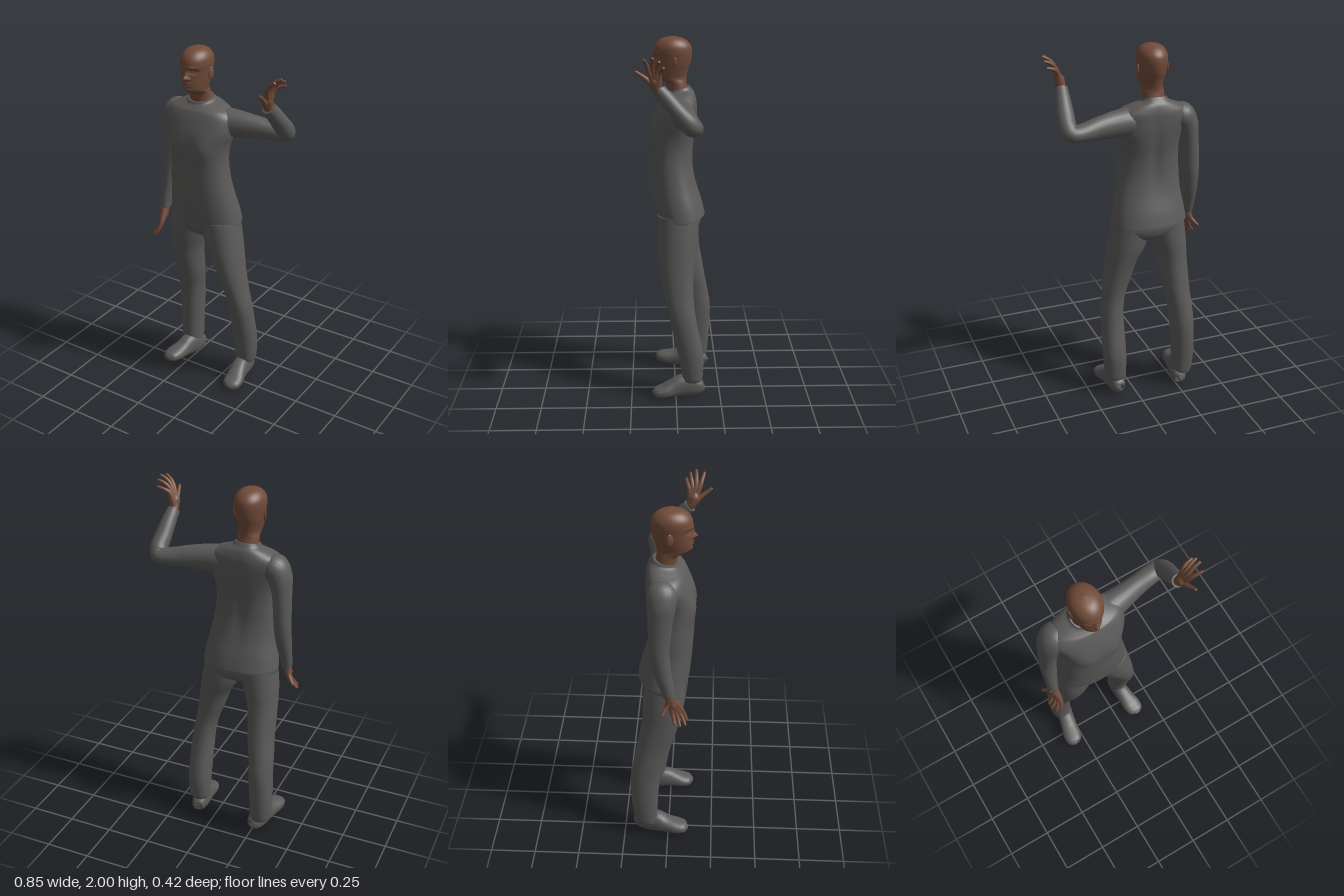
import * as THREE from 'three';

const cloth = new THREE.MeshStandardMaterial({ color: 0x5b5a59 });
cloth.name = 'grey cloth';
const skin = new THREE.MeshStandardMaterial({ color: 0x714b39 });
skin.name = 'brown skin';

const V = (x, y, z) => new THREE.Vector3(x, y, z);

// Catmull-Rom sampling of rows of numbers
function sample(rows, n) {
  const out = [], last = rows.length - 1;
  for (let i = 0; i <= n; i++) {
    const s = (i / n) * last, k = Math.min(Math.floor(s), last - 1), t = s - k;
    const [a, b, c, d] = [k - 1, k, k + 1, k + 2].map((q) => rows[Math.max(0, Math.min(last, q))]);
    out.push(b.map((_, j) => 0.5 * (2 * b[j] + (c[j] - a[j]) * t
      + (2 * a[j] - 5 * b[j] + 4 * c[j] - d[j]) * t * t
      + (3 * b[j] - a[j] - 3 * c[j] + d[j]) * t * t * t)));
  }
  return out;
}

// Smooth skin through rows [x, y, z, radiusU, radiusV]
function loft(name, material, rows, o = {}) {
  const { n = rows.length * 5, seg = 24, ref = V(0, 0, 1), level = false, power = 2, deform } = o;
  const s = sample(rows, n), pos = [], idx = [];
  const at = (i) => V(s[i][0], s[i][1], s[i][2]);
  for (let i = 0; i <= n; i++) {
    const T = level ? V(0, 1, 0) : at(Math.min(n, i + 1)).sub(at(Math.max(0, i - 1))).normalize();
    const u = ref.clone().cross(T).normalize(), v = T.clone().cross(u);
    const ru = Math.max(s[i][3], 0.0008), rv = Math.max(s[i][4] ?? s[i][3], 0.0008);
    const bend = (c) => Math.sign(c) * Math.abs(c) ** (2 / power);
    for (let j = 0; j < seg; j++) {
      const a = (j / seg) * Math.PI * 2;
      const p = at(i).addScaledVector(u, ru * bend(Math.cos(a))).addScaledVector(v, rv * bend(Math.sin(a)));
      if (deform) deform(p);
      pos.push(p.x, p.y, p.z);
    }
  }
  for (let i = 0; i < n; i++) for (let j = 0; j < seg; j++) {
    const a = i * seg + j, b = i * seg + (j + 1) % seg;
    idx.push(a, b, a + seg, b, b + seg, a + seg);
  }
  // End caps with their own vertices so rims stay sharp
  for (const i of [0, n]) {
    const base = pos.length / 3, c = V(0, 0, 0);
    for (let j = 0; j < seg; j++) {
      const k = (i * seg + j) * 3;
      c.add(V(pos[k], pos[k + 1], pos[k + 2]));
      pos.push(pos[k], pos[k + 1], pos[k + 2]);
    }
    c.divideScalar(seg);
    pos.push(c.x, c.y, c.z);
    for (let j = 0; j < seg; j++) {
      const a = base + j, b = base + (j + 1) % seg;
      idx.push(base + seg, i ? a : b, i ? b : a);
    }
  }
  const g = new THREE.BufferGeometry();
  g.setAttribute('position', new THREE.Float32BufferAttribute(pos, 3));
  g.setIndex(idx);
  g.computeVertexNormals();
  const mesh = new THREE.Mesh(g, material);
  mesh.name = name;
  return mesh;
}

// Upright body part from rows [y, xMin, xMax, zBack, zFront]
const upright = (name, material, rows, o) => loft(name, material,
  rows.map(([y, a, b, c, d]) => [(a + b) / 2, y, (c + d) / 2, (b - a) / 2, (d - c) / 2]),
  { level: true, seg: 40, ...o });

const bump = (p, x, y, sx, sy) => Math.exp(-(((p.x - x) / sx) ** 2) - ((p.y - y) / sy) ** 2);

// Hand: each digit runs from the wrist through its knuckle to its tip
function hand(name, wrist, digits) {
  const g = new THREE.Group();
  g.name = name;
  digits.forEach(([knuckle, middle, tip], i) => {
    const start = wrist.map((w, k) => w + (knuckle[k] - w) * 0.12);
    const end = tip.map((t, k) => t + (t - middle[k]) * 0.06);
    g.add(loft(i ? 'finger' : 'thumb', skin,
      [[...start, 0.024], [...knuckle, 0.0145], [...middle, 0.0105], [...tip, 0.0075], [...end, 0.001]],
      { seg: 12 }));
  });
  return g;
}

export function createModel() {
  const model = new THREE.Group();
  model.name = 'wavingPerson';

  // Sweater body
  model.add(upright('sweater', cloth, [
    [1.03, -0.33, 0.09, -0.165, 0.11], [1.1, -0.32, 0.08, -0.148, 0.117],
    [1.2, -0.305, 0.06, -0.118, 0.125], [1.3, -0.3, 0.042, -0.1, 0.13],
    [1.4, -0.295, 0.032, -0.1, 0.134], [1.48, -0.3, 0.04, -0.11, 0.134],
    [1.55, -0.32, 0.06, -0.118, 0.125], [1.61, -0.34, 0.065, -0.12, 0.105],
    [1.655, -0.325, 0.05, -0.118, 0.085], [1.69, -0.265, -0.01, -0.108, 0.064],
    [1.712, -0.222, -0.066, -0.092, 0.05], [1.73, -0.213, -0.077, -0.08, 0.045],
  ], {
    n: 64, seg: 56, power: 2.3,
    deform: (p) => {
      if (p.z > 0.03) p.z += 0.014 * (bump(p, -0.22, 1.47, 0.06, 0.07) + bump(p, -0.04, 1.47, 0.06, 0.07));
      if (p.z < -0.05) p.z += 0.012 * bump(p, -0.13, 1.42, 0.03, 0.2);
      p.y -= Math.max(0, p.y - 1.67) * 4 * (p.z + 0.06);
    },
  }));

  // Sleeves
  model.add(loft('rightSleeve', cloth, [
    [-0.25, 1.635, -0.025, 0.035, 0.05], [-0.295, 1.615, -0.028, 0.07, 0.078], [-0.33, 1.56, -0.03, 0.064, 0.074],
    [-0.345, 1.48, -0.035, 0.052, 0.064], [-0.352, 1.38, -0.04, 0.048, 0.057], [-0.357, 1.28, -0.04, 0.046, 0.052],
    [-0.362, 1.18, -0.025, 0.041, 0.046], [-0.367, 1.1, -0.005, 0.034, 0.038], [-0.37, 1.03, 0.012, 0.028, 0.032],
  ]));
  model.add(loft('leftSleeve', cloth, [
    [-0.07, 1.605, -0.02, 0.08, 0.07], [0.01, 1.604, -0.03, 0.075, 0.076], [0.09, 1.602, -0.042, 0.064, 0.071],
    [0.18, 1.598, -0.06, 0.054, 0.06], [0.27, 1.59, -0.078, 0.052, 0.048], [0.325, 1.59, -0.082, 0.052, 0.046],
    [0.345, 1.615, -0.062, 0.048, 0.05], [0.342, 1.67, -0.012, 0.047, 0.045],
    [0.335, 1.73, 0.04, 0.041, 0.041], [0.327, 1.785, 0.09, 0.034, 0.036],
  ], { ref: V(0, 1, 0), n: 60 }));

  // Trousers
  model.add(upright('hips', cloth, [
    [0.925, -0.2, -0.04, -0.08, 0.04], [0.95, -0.27, 0.04, -0.125, 0.075],
    [1.0, -0.325, 0.088, -0.145, 0.1], [1.06, -0.32, 0.085, -0.14, 0.105],
  ], { power: 2.3 }));
  model.add(upright('rightTrouserLeg', cloth, [
    [0.085, -0.342, -0.232, -0.19, -0.055], [0.12, -0.35, -0.23, -0.196, -0.06],
    [0.25, -0.356, -0.228, -0.207, -0.058], [0.4, -0.352, -0.22, -0.21, -0.045],
    [0.5, -0.348, -0.212, -0.195, -0.025], [0.6, -0.34, -0.195, -0.176, 0.005], [0.7, -0.337, -0.185, -0.158, 0.038],
    [0.8, -0.335, -0.172, -0.142, 0.065], [0.9, -0.333, -0.143, -0.138, 0.085], [1.04, -0.32, -0.1, -0.13, 0.09],
  ], { power: 2.15 }));
  model.add(upright('leftTrouserLeg', cloth, [
    [0.1, 0.052, 0.158, -0.145, -0.04], [0.13, 0.046, 0.168, -0.152, -0.035],
    [0.25, 0.043, 0.173, -0.155, -0.015], [0.4, 0.042, 0.171, -0.125, 0.02],
    [0.5, 0.04, 0.165, -0.108, 0.042], [0.6, 0.026, 0.15, -0.098, 0.064], [0.7, -0.01, 0.137, -0.1, 0.083],
    [0.8, -0.046, 0.123, -0.11, 0.094], [0.9, -0.098, 0.109, -0.125, 0.1], [1.04, -0.13, 0.085, -0.13, 0.1],
  ], { power: 2.15 }));

  // Shoes, right one resting on its heel
  const shoe = { ref: V(0, 1, 0), power: 2.4, n: 36 };
  model.add(loft('rightShoe', cloth, [
    [-0.258, 0.05, -0.184, 0.012, 0.012], [-0.26, 0.052, -0.178, 0.034, 0.036], [-0.27, 0.064, -0.13, 0.046, 0.062],
    [-0.285, 0.073, -0.07, 0.048, 0.066], [-0.298, 0.064, -0.01, 0.05, 0.047], [-0.31, 0.061, 0.05, 0.054, 0.036],
    [-0.318, 0.06, 0.095, 0.042, 0.027], [-0.32, 0.062, 0.114, 0.012, 0.01],
  ], shoe));
  model.add(loft('leftShoe', cloth, [
    [0.1, 0.048, -0.15, 0.012, 0.012], [0.101, 0.05, -0.144, 0.034, 0.036], [0.102, 0.063, -0.1, 0.045, 0.058],
    [0.105, 0.068, -0.04, 0.047, 0.063], [0.112, 0.055, 0.015, 0.05, 0.049], [0.12, 0.041, 0.065, 0.056, 0.035],
    [0.125, 0.034, 0.11, 0.046, 0.026], [0.126, 0.033, 0.133, 0.012, 0.01],
  ], shoe));

  // Head and neck, with the face shaped by soft bumps and hollows
  const cx = -0.145;
  model.add(upright('head', skin, [
    [1.67, 0.066, -0.08, 0.035], [1.72, 0.06, -0.07, 0.04], [1.755, 0.058, -0.062, 0.052],
    [1.774, 0.058, -0.062, 0.096], [1.79, 0.06, -0.064, 0.112], [1.82, 0.067, -0.071, 0.115],
    [1.855, 0.074, -0.083, 0.114], [1.89, 0.078, -0.09, 0.116], [1.92, 0.081, -0.092, 0.119],
    [1.95, 0.078, -0.086, 0.112], [1.975, 0.064, -0.066, 0.092], [1.992, 0.04, -0.036, 0.062], [2.0, 0.004, 0.008, 0.016],
  ].map(([y, w, b, f]) => [y, cx - w, cx + w, b, f]), {
    n: 90, seg: 80,
    deform: (p) => {
      if (p.z < 0.04) return;
      let d = 0.024 * bump(p, cx, 1.855, 0.012, 0.012) + 0.013 * bump(p, cx, 1.875, 0.01, 0.022);
      d += 0.008 * bump(p, cx, 1.829, 0.022, 0.005) + 0.008 * bump(p, cx, 1.816, 0.02, 0.005);
      d += 0.006 * bump(p, cx, 1.79, 0.02, 0.012);
      for (const s of [-1, 1]) {
        d += 0.007 * bump(p, cx + s * 0.017, 1.851, 0.008, 0.007);
        d -= 0.015 * bump(p, cx + s * 0.033, 1.889, 0.018, 0.011);
        d += 0.008 * bump(p, cx + s * 0.033, 1.888, 0.011, 0.005);
        d += 0.005 * bump(p, cx + s * 0.03, 1.91, 0.022, 0.007);
      }
      p.z += d;
    },
  }));

  // Ears
  for (const s of [-1, 1]) {
    const ear = new THREE.Group();
    ear.name = s > 0 ? 'leftEar' : 'rightEar';
    const shell = new THREE.Mesh(new THREE.SphereGeometry(1, 16, 12), skin);
    shell.scale.set(0.007, 0.027, 0.016);
    const rim = new THREE.Mesh(new THREE.TorusGeometry(0.019, 0.0045, 8, 24), skin);
    rim.scale.set(0.75, 1.35, 1);
    rim.rotation.y = Math.PI / 2;
    ear.add(shell, rim);
    ear.position.set(cx + s * 0.081, 1.868, 0.008);
    ear.rotation.set(-0.12, s * -0.35, 0);
    model.add(ear);
  }

  // Wrists and hands
  model.add(loft('leftWrist', skin, [
    [0.328, 1.765, 0.072, 0.026], [0.327, 1.8, 0.1, 0.025], [0.332, 1.835, 0.115, 0.027], [0.337, 1.86, 0.12, 0.012],
  ], { seg: 16 }));
  model.add(hand('leftHand', [0.327, 1.795, 0.098], [
    [[0.332, 1.835, 0.145], [0.338, 1.858, 0.175], [0.345, 1.88, 0.205]],
    [[0.347, 1.882, 0.139], [0.368, 1.92, 0.153], [0.4, 1.945, 0.164]],
    [[0.35, 1.888, 0.12], [0.376, 1.93, 0.122], [0.414, 1.953, 0.12]],
    [[0.35, 1.882, 0.102], [0.376, 1.918, 0.095], [0.414, 1.936, 0.089]],
    [[0.347, 1.87, 0.088], [0.37, 1.893, 0.075], [0.408, 1.906, 0.068]],
  ]));
  model.add(loft('rightWrist', skin, [
    [-0.37, 1.055, 0.01, 0.022], [-0.371, 1.015, 0.018, 0.021], [-0.373, 0.98, 0.03, 0.024], [-0.375, 0.955, 0.038, 0.012],
  ], { seg: 16 }));
  model.add(hand('rightHand', [-0.371, 1.02, 0.018], [
    [[-0.385, 0.982, 0], [-0.402, 0.96, -0.014], [-0.42, 0.94, -0.027]],
    [[-0.382, 0.945, 0.026], [-0.397, 0.912, 0.035], [-0.418, 0.885, 0.04]],
    [[-0.377, 0.937, 0.045], [-0.392, 0.902, 0.058], [-0.415, 0.872, 0.068]],
    [[-0.37, 0.94, 0.06], [-0.382, 0.905, 0.08], [-0.403, 0.873, 0.096]],
    [[-0.362, 0.95, 0.07], [-0.366, 0.917, 0.09], [-0.378, 0.888, 0.103]],
  ]));

  return model;
}
